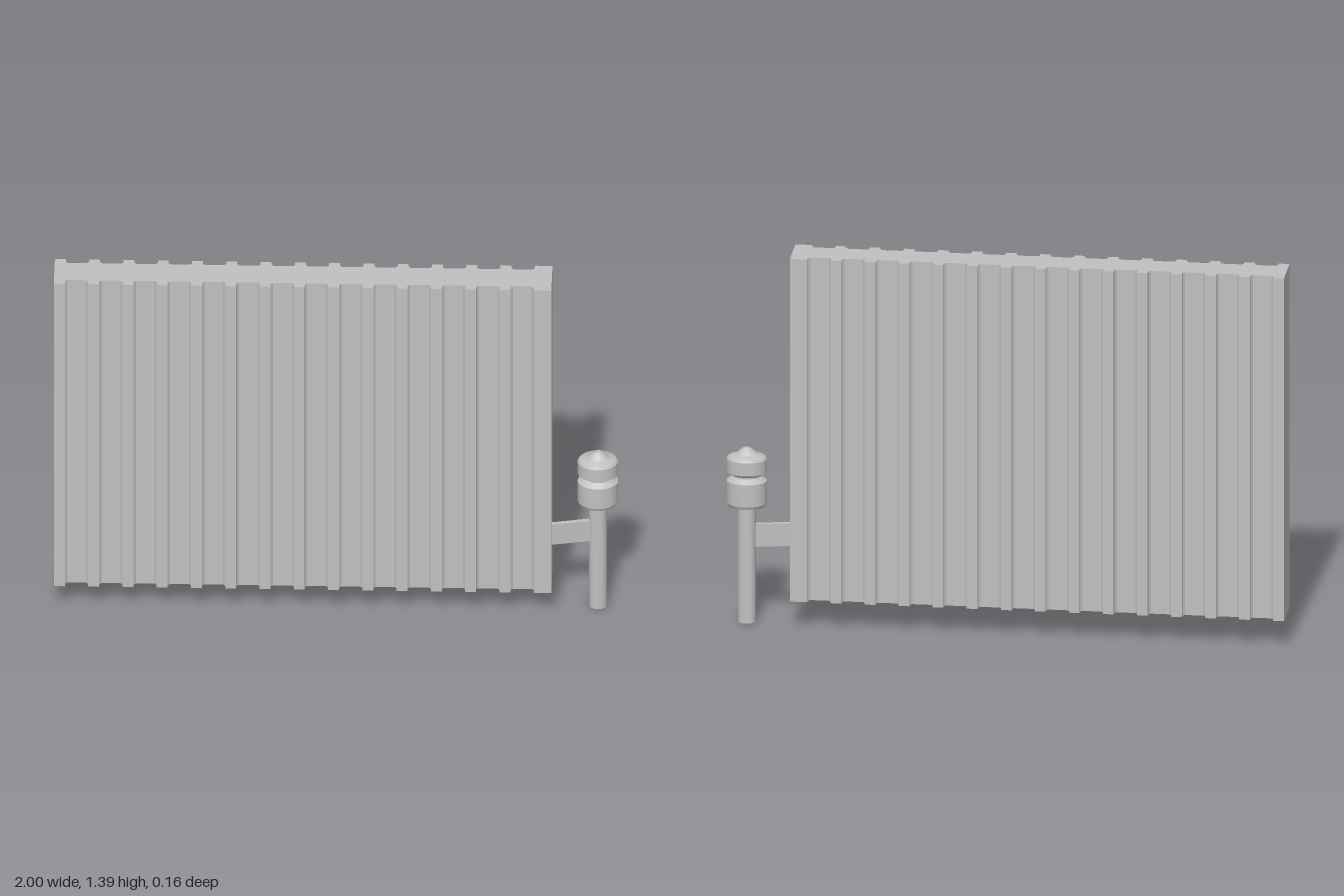
import * as THREE from 'three';
import { toCreasedNormals } from 'three/addons/utils/BufferGeometryUtils.js';

export function createModel() {
  const model = new THREE.Group();
  model.name = 'radiator';
  const metal = new THREE.MeshStandardMaterial({ color: 0xc0c0c0 });
  metal.name = 'grey metal';

  const add = (name, geometry, parent = model) => {
    const mesh = new THREE.Mesh(geometry, metal);
    mesh.name = name;
    parent.add(mesh);
    return mesh;
  };

  // Ribbed panel: grooved plan outline, extruded upwards
  const left = -1, right = 0.765, half = 0.08, floor = 0.055;
  const grooves = 14, pitch = 0.1216, first = -0.961, width = 0.083;
  const side = [[left, half]];
  for (let i = 0; i < grooves; i++) {
    const a = first + i * pitch, b = a + width;
    side.push([a, half], [a, floor + 0.008], [a + 0.008, floor],
      [b - 0.008, floor], [b, floor + 0.008], [b, half]);
  }
  side.push([right, half]);
  const outline = [...side, ...side.map(([x, z]) => [x, -z]).reverse()];
  const panel = new THREE.ExtrudeGeometry(
    new THREE.Shape(outline.map(([x, z]) => new THREE.Vector2(x, z))),
    { depth: 1.285, bevelEnabled: false });
  panel.rotateX(-Math.PI / 2);
  add('ribbedPanel', panel).position.y = 0.105;

  // Valve, slightly oval in plan
  const valve = new THREE.Group();
  valve.name = 'valve';
  valve.position.set(0.928, 0, -0.008);
  valve.scale.z = 0.85;
  model.add(valve);

  const lathe = (points) => toCreasedNormals(new THREE.LatheGeometry(
    points.map(([r, y]) => new THREE.Vector2(r, y)), 40), 0.35);

  add('pipe', lathe([[0, 0], [0.032, 0], [0.032, 0.44], [0, 0.44]]), valve);

  add('valveHead', lathe([
    [0, 0.436], [0.066, 0.436], [0.072, 0.447], [0.072, 0.53],
    [0.05, 0.546], [0.05, 0.551], [0.072, 0.563], [0.072, 0.612],
    [0.066, 0.62], [0.038, 0.63], [0.022, 0.645], [0.012, 0.652], [0, 0.653],
  ]), valve);

  // Slanted plate joining the panel to the pipe
  const from = new THREE.Vector2(0.765, 0.026), to = new THREE.Vector2(0.91, -0.004);
  const run = to.clone().sub(from);
  const bracket = add('bracket', new THREE.BoxGeometry(run.length(), 0.085, 0.016));
  bracket.position.set((from.x + to.x) / 2, 0.323, (from.y + to.y) / 2);
  bracket.rotation.y = -Math.atan2(run.y, run.x);

  return model;
}
